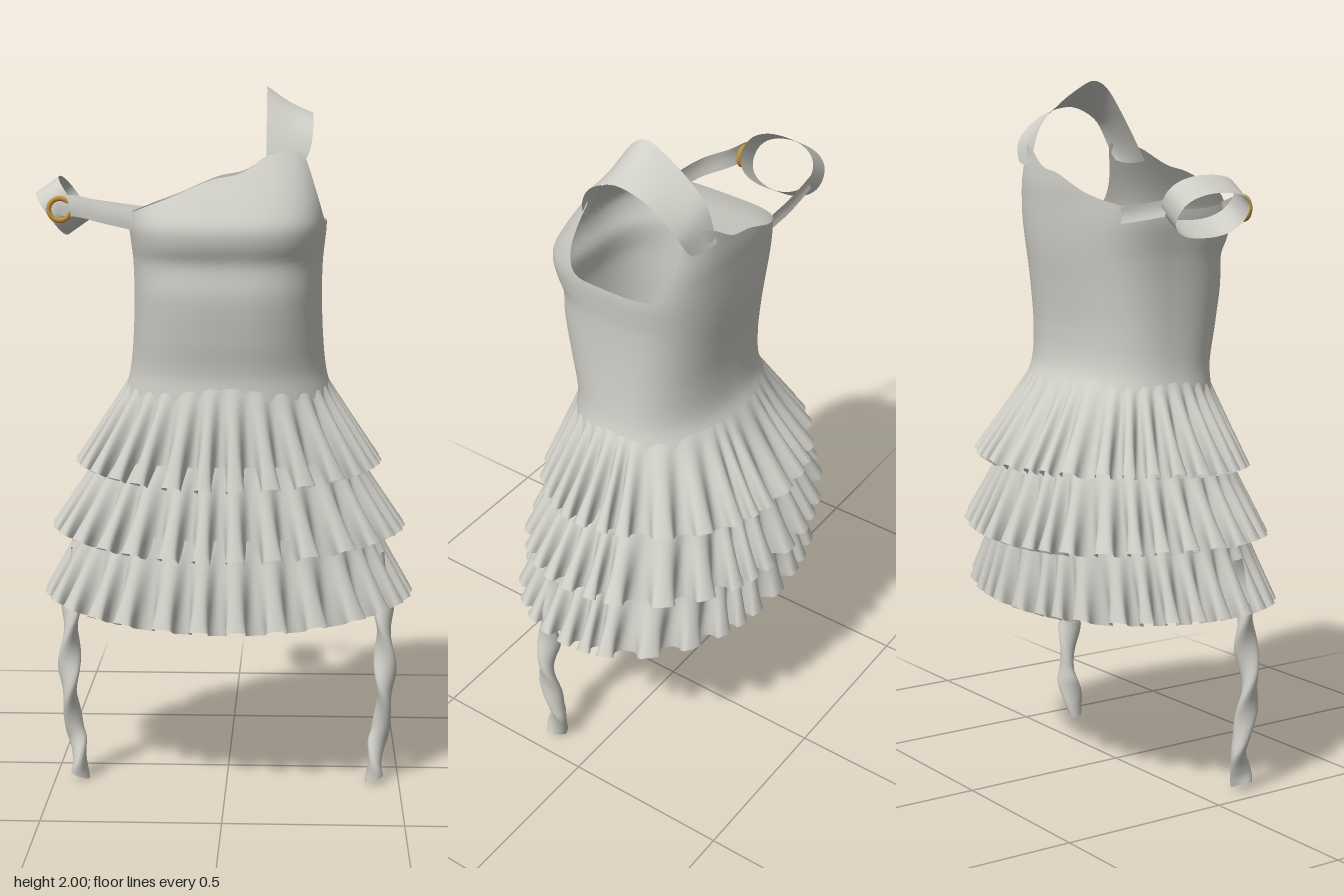
import * as THREE from 'three';

const fabric = new THREE.MeshStandardMaterial({ color: 0xcfcec7, side: THREE.DoubleSide });
fabric.name = 'pale grey fabric';
const gold = new THREE.MeshStandardMaterial({ color: 0xc0913a });
gold.name = 'gold';

const { lerp, smoothstep, radToDeg } = THREE.MathUtils;
const spow = (t, p) => Math.sign(t) * Math.abs(t) ** p;

// Smooth interpolation through rows [key, a, b, ...] sorted by key
function sample(rows, k) {
  let i = 0;
  while (i < rows.length - 2 && k > rows[i + 1][0]) i++;
  const p = rows[i], q = rows[i + 1];
  const o = rows[Math.max(i - 1, 0)], r = rows[Math.min(i + 2, rows.length - 1)];
  const h = q[0] - p[0], t = THREE.MathUtils.clamp((k - p[0]) / h, 0, 1);
  return p.slice(1).map((a, j) => {
    const b = q[j + 1];
    const m0 = (b - o[j + 1]) / (q[0] - o[0]) * h;
    const m1 = (r[j + 1] - a) / (r[0] - p[0]) * h;
    return a * (1 + 2 * t) * (1 - t) ** 2 + m0 * t * (1 - t) ** 2
      + b * t * t * (3 - 2 * t) + m1 * t * t * (t - 1);
  });
}

// Surface from a rule f(u, v) -> [x, y, z]; u wraps round when closed
function surface(name, f, nu, nv, closed) {
  const pos = [], index = [], cols = closed ? nu : nu + 1;
  for (let j = 0; j <= nv; j++)
    for (let i = 0; i < cols; i++) pos.push(...f(i / nu, j / nv));
  for (let j = 0; j < nv; j++)
    for (let i = 0; i < nu; i++) {
      const a = j * cols + i, b = j * cols + (i + 1) % cols;
      index.push(a, a + cols, b, b, a + cols, b + cols);
    }
  const g = new THREE.BufferGeometry();
  g.setAttribute('position', new THREE.Float32BufferAttribute(pos, 3));
  g.setIndex(index);
  g.computeVertexNormals();
  const mesh = new THREE.Mesh(g, fabric);
  mesh.name = name;
  return mesh;
}

// Rounded body section: half width, front depth, back depth
function ring(theta, [w, front, back], p) {
  const s = Math.sin(theta);
  return [w * spow(Math.cos(theta), p), (s > 0 ? front : back) * spow(s, p)];
}

// Bodice sections by height: half width, front, back, roundness
const BODY = [
  [1.13, 0.3, 0.245, 0.245, 0.9], [1.2, 0.282, 0.243, 0.208, 0.86], [1.3, 0.272, 0.262, 0.198, 0.8],
  [1.42, 0.268, 0.28, 0.206, 0.75], [1.51, 0.27, 0.278, 0.216, 0.72], [1.56, 0.275, 0.298, 0.22, 0.7],
  [1.61, 0.28, 0.302, 0.222, 0.68], [1.66, 0.278, 0.275, 0.223, 0.66], [1.72, 0.268, 0.235, 0.224, 0.64],
  [1.82, 0.248, 0.165, 0.215, 0.64],
];
// Slanted neckline height across the chest
const NECK = [[-1, 1.645], [-0.75, 1.665], [-0.35, 1.7], [0, 1.75], [0.25, 1.8], [0.45, 1.82]];

function bodiceTop(theta) {
  const c = Math.cos(theta), back = Math.sin(theta) < 0;
  const drop = back ? smoothstep(c, 0.6, 0.95) : smoothstep(c, 0.76, 0.985);
  return lerp(sample(NECK, Math.min(c, 0.45))[0], 1.625, drop);
}

function makeBodice() {
  return surface('bodice', (u, v) => {
    const t = u * Math.PI * 2;
    const y = lerp(1.13, bodiceTop(t), v);
    const section = sample(BODY, y);
    const [x, z] = ring(t, section, section[3]);
    return [x, y, z];
  }, 240, 44, true);
}

// Wide strap over the left shoulder: y and z of the inner and the outer edge
const STRAP = [
  [0, 1.77, 0.18, 1.77, 0.14], [1, 1.85, 0.134, 1.83, 0.125], [2, 1.92, 0.09, 1.88, 0.1],
  [3, 1.98, 0.045, 1.912, 0.055], [4, 2.0, 0, 1.926, 0], [5, 1.98, -0.05, 1.912, -0.07],
  [6, 1.93, -0.125, 1.88, -0.13], [7, 1.87, -0.185, 1.83, -0.18], [8, 1.77, -0.218, 1.77, -0.2],
];
function makeShoulderStrap() {
  return surface('shoulderStrap', (u, v) => {
    const [yi, zi, yo, zo] = sample(STRAP, u * 8);
    const outer = 0.24 - 0.04 * (2 * u - 1) ** 6;
    return [lerp(0.11, outer, v), lerp(yi, yo, v) - 0.008 * Math.sin(Math.PI * v), lerp(zi, zo, v)];
  }, 40, 8, false);
}

// Angles in degrees of the flutes, unevenly gathered round the skirt
const FLUTES = [
  -8, 1.6, 11.5, 21.6, 32.8, 46, 61.4, 74.5, 86.7, 96.8, 108, 122, 133, 147, 159, 170, 181,
  192, 203, 213, 224, 239, 248.5, 256, 267, 278, 285.6, 293.5, 307, 324, 343, 352, 361.6,
].map((angle, i) => [angle, i]);

// Gathered tier whose folds open into round flutes at the hem
function makeRuffle({ name, y0, y1, top, hem, shift, backLift, backFold }) {
  return surface(name, (u, v) => {
    const t = u * Math.PI * 2;
    const size = top.map((a, i) => lerp(a, hem[i], v));
    const [x, z] = ring(t, size, 0.95);
    const back = Math.max(0, -Math.sin(t));
    const n = new THREE.Vector2(Math.cos(t) / size[0], Math.sin(t) / size[z > 0 ? 1 : 2]).normalize();
    const f = Math.PI * 2 * sample(FLUTES, radToDeg(t))[0] + shift * Math.sin(2 * t);
    const grow = v ** 1.1 * lerp(1, backFold, back);
    const out = 0.031 * grow * (Math.cos(f) + 0.25 * Math.sin(f) ** 2);
    const side = 0.012 * grow * v * v * Math.sin(2 * f);
    const lift = v * (0.035 * Math.cos(t) ** 2 + backLift * back + 0.012 * Math.cos(f));
    return [x + n.x * out - n.y * side, lerp(y0, y1, v) + lift, z + n.y * out + n.x * side];
  }, 540, 12, true);
}

const TIERS = [
  { name: 'upperRuffle', y0: 1.17, y1: 0.885, top: [0.288, 0.242, 0.23], hem: [0.414, 0.308, 0.378], shift: 0.9, backLift: 0.04, backFold: 0.5 },
  { name: 'middleRuffle', y0: 0.95, y1: 0.695, top: [0.375, 0.278, 0.3], hem: [0.484, 0.348, 0.376], shift: -0.7, backLift: 0.01, backFold: 1 },
  { name: 'lowerRuffle', y0: 0.75, y1: 0.5, top: [0.425, 0.315, 0.32], hem: [0.508, 0.374, 0.345], shift: 0, backLift: 0.015, backFold: 0.9 },
];

// Smooth lining that carries the tiers
const LINING = [
  [0.62, 0.435, 0.32, 0.315], [0.75, 0.412, 0.303, 0.308], [0.95, 0.355, 0.262, 0.28], [1.16, 0.28, 0.232, 0.22],
];
function makeUnderskirt() {
  return surface('underskirt', (u, v) => {
    const y = lerp(0.62, 1.16, v);
    const [x, z] = ring(u * Math.PI * 2, sample(LINING, y), 0.95);
    return [x, y, z];
  }, 80, 12, true);
}

// Twisted hanging ribbon: height, x, z, half width
const RIBBON = [
  [0, 0.428, 0.138, 0.032], [0.06, 0.43, 0.132, 0.034], [0.12, 0.438, 0.118, 0.036], [0.16, 0.447, 0.12, 0.03],
  [0.3, 0.458, 0.14, 0.037], [0.42, 0.453, 0.13, 0.036], [0.52, 0.45, 0.125, 0.037], [0.68, 0.43, 0.1, 0.034],
];
function makeRibbon(name, side) {
  return surface(name, (u, v) => {
    const y = v * 0.68, t = u * Math.PI * 2;
    const [x, z, w] = sample(RIBBON, y);
    const twist = 0.6 + v * 11;
    const a = w * Math.cos(t), b = 0.022 * Math.sin(t);
    const dx = a * Math.cos(twist) - b * Math.sin(twist);
    const dz = a * Math.sin(twist) + b * Math.cos(twist);
    const slant = Math.max(0, 1 - v * 12) * 0.4 * (0.033 + dx);
    return [side * (x + dx * 0.9), y + slant, z + dz];
  }, 20, 60, true);
}

// Oval band round the right arm, tilted to lie along the arm
function makeArmBand() {
  return surface('armBand', (u, v) => {
    const t = u * Math.PI * 2, across = (v - 0.5) * 0.08;
    const a = 0.076 * spow(Math.cos(t), 0.85);
    return [-0.478 + a * 0.58 + across * 0.82, 1.662 - a * 0.81 + across * 0.57,
      -0.043 + 0.116 * spow(Math.sin(t), 0.85)];
  }, 64, 4, true);
}

// Narrow strip following points [x, y, z], standing upright
function makeStrip(name, points, height) {
  const curve = new THREE.CatmullRomCurve3(points.map(p => new THREE.Vector3(...p)));
  return surface(name, (u, v) => {
    const p = curve.getPoint(u);
    return [p.x, p.y + (v - 0.5) * height, p.z + 0.004 * Math.sin(Math.PI * v)];
  }, 24, 4, false);
}

export function createModel() {
  const dress = new THREE.Group();
  dress.name = 'ruffledDress';
  dress.add(makeBodice(), makeShoulderStrap(), makeUnderskirt(), ...TIERS.map(makeRuffle));
  dress.add(makeRibbon('leftRibbon', 1), makeRibbon('rightRibbon', -1), makeArmBand());
  dress.add(
    makeStrip('frontArmStrap', [[-0.475, 1.668, 0.08], [-0.42, 1.664, 0.098], [-0.35, 1.65, 0.148], [-0.26, 1.632, 0.18]], 0.06),
    makeStrip('backArmStrap', [[-0.45, 1.66, -0.157], [-0.4, 1.652, -0.16], [-0.33, 1.642, -0.163], [-0.25, 1.632, -0.16]], 0.045),
  );

  // Ring buckle joining the front strap to the arm band
  const buckle = new THREE.Mesh(new THREE.TorusGeometry(0.031, 0.007, 10, 32), gold);
  buckle.name = 'buckle';
  buckle.position.set(-0.475, 1.655, 0.084);
  dress.add(buckle);
  return dress;
}
